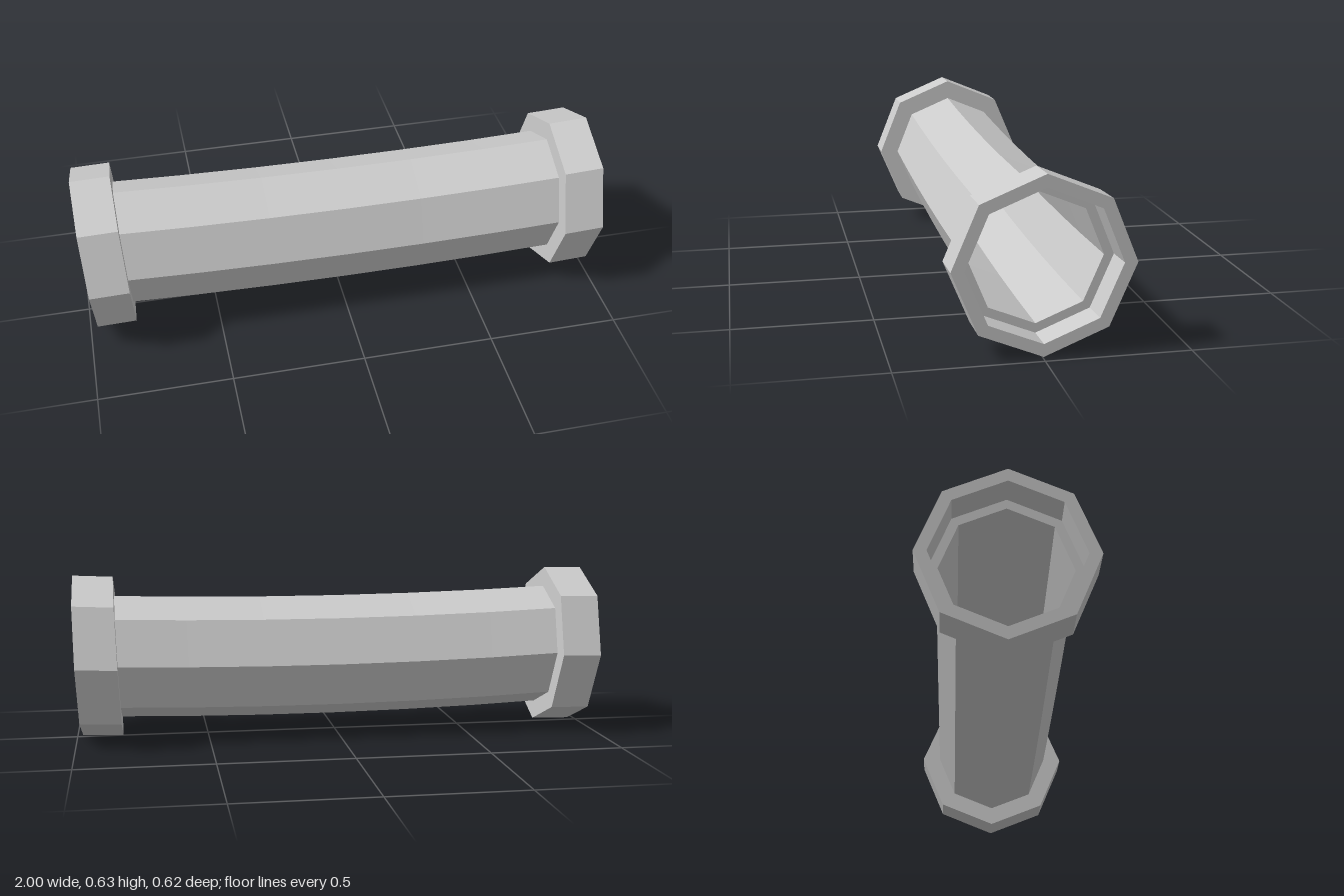
import * as THREE from 'three';

const SIDES = 8;
const PIPE_R = 0.234, BORE_R = 0.229, FLANGE_R = 0.308, MOUTH_R = 0.263;

// Skin a list of octagonal rings { x, y, lean, r }; lean shifts the top of a ring along x
function loft(name, rings) {
  const point = ({ x, y, lean, r }, j) => {
    const a = (j / SIDES) * Math.PI * 2;
    const h = r * Math.cos(a);
    return [x + lean * h, y + h, r * Math.sin(a)];
  };
  const positions = [];
  for (let i = 0; i < rings.length - 1; i++) {
    for (let j = 0; j < SIDES; j++) {
      const a = point(rings[i], j), b = point(rings[i], j + 1);
      const c = point(rings[i + 1], j), d = point(rings[i + 1], j + 1);
      positions.push(...a, ...b, ...c, ...b, ...d, ...c);
    }
  }
  const geometry = new THREE.BufferGeometry();
  geometry.setAttribute('position', new THREE.Float32BufferAttribute(positions, 3));
  geometry.computeVertexNormals();
  const mesh = new THREE.Mesh(
    geometry,
    new THREE.MeshStandardMaterial({ color: 0xcccccc, flatShading: true })
  );
  mesh.name = name;
  return mesh;
}

// Ring placed between two stations of the axis
function between(a, b, t, r) {
  const mix = THREE.MathUtils.lerp;
  return { x: mix(a.x, b.x, t), y: mix(a.y, b.y, t), lean: mix(a.lean, b.lean, t), r };
}

// Collar with a recessed mouth and a shoulder around the bore
function flange(name, back, front) {
  const profile = [
    [0, BORE_R], [0, FLANGE_R], [1, FLANGE_R], [1, MOUTH_R], [0.2, MOUTH_R], [0.2, BORE_R],
  ];
  const rings = profile.map(([t, r]) => between(back, front, t, r));
  return loft(name, front.x > back.x ? rings : rings.reverse());
}

export function createModel() {
  const leftEnd = { x: 0.99, y: 0.316, lean: 0.035 };
  const leftBack = { x: 0.838, y: 0.309, lean: 0.04 };
  const rightEnd = { x: -0.982, y: 0.317, lean: -0.057 };
  const rightBack = { x: -0.835, y: 0.32, lean: -0.055 };

  // Gently sagging pipe, running slightly into both flanges
  const segments = 6;
  const start = between(rightBack, rightEnd, 0.2, 0);
  const end = between(leftBack, leftEnd, 0.2, 0);
  const outer = [], inner = [];
  for (let i = 0; i <= segments; i++) {
    const t = i / segments;
    const station = between(start, end, t, PIPE_R);
    station.y -= 0.018 * 4 * t * (1 - t);
    outer.push(station);
    inner.unshift({ ...station, r: BORE_R });
  }

  const model = new THREE.Group();
  model.name = 'flangedPipe';
  model.add(
    loft('pipe', [...outer, ...inner]),
    flange('leftFlange', leftBack, leftEnd),
    flange('rightFlange', rightBack, rightEnd)
  );
  return model;
}
